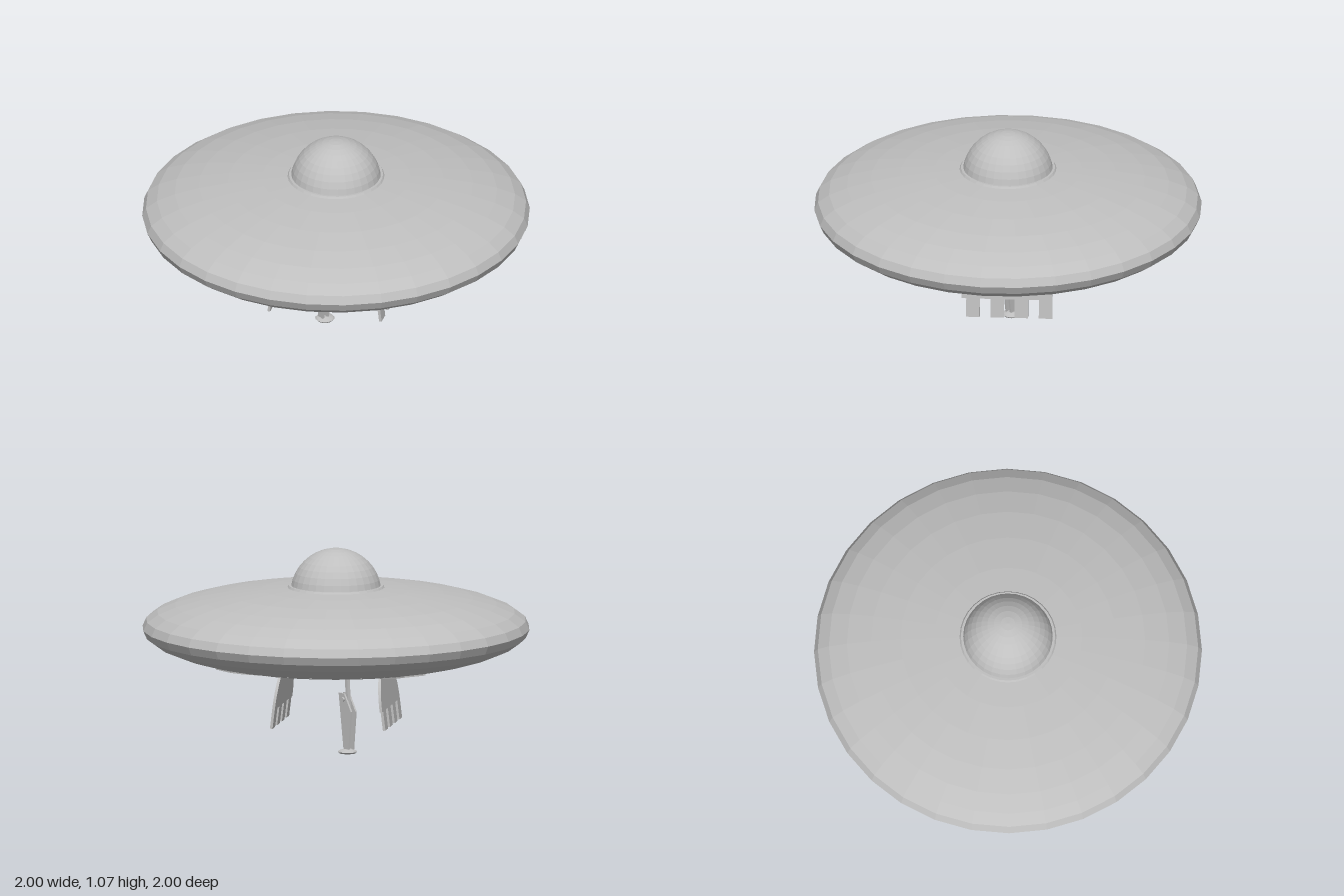
import * as THREE from 'three';

const CY = 0.65, H = 0.22;              // saucer mid height and half height
const lerp = THREE.MathUtils.lerp;
const under = r => CY - H * Math.sqrt(Math.max(0, 1 - r * r));

export function createModel() {
  const model = new THREE.Group();
  const grey = new THREE.MeshStandardMaterial({ color: 0xbfbfbf, flatShading: true, side: THREE.DoubleSide });
  grey.name = 'hull grey';

  const add = (name, geometry, parent = model) => {
    const mesh = new THREE.Mesh(geometry, grey);
    mesh.name = name;
    parent.add(mesh);
    return mesh;
  };
  const lathe = (pts, seg = 32) => new THREE.LatheGeometry(pts.map(p => new THREE.Vector2(p[0], p[1])), seg);
  // Surface over u, v in 0..1
  const sheet = (cols, rows, fn) => {
    const g = new THREE.PlaneGeometry(1, 1, cols, rows), p = g.attributes.position;
    for (let i = 0; i < p.count; i++) p.setXYZ(i, ...fn(p.getX(i) + 0.5, p.getY(i) + 0.5));
    g.computeVertexNormals();
    return g;
  };

  // Saucer: lower rim, then the whole upper side
  const hull = [0.71, 0.77].map(r => [r, under(r)]);
  for (let i = -3; i <= 8; i++) {
    const a = i * Math.PI / 16;
    hull.push([Math.max(0, Math.cos(a)), CY + H * Math.sin(a)]);
  }
  add('saucerHull', lathe(hull));
  add('innerUnderside', lathe([[0.26, under(0.26)], [0.32, under(0.32)], [0.37, under(0.37)]]));

  // Underside panels between four skewed tapered landing gear wells
  const R0 = 0.37, R1 = 0.71;
  const edge = (t, right) => Math.atan2(right ? lerp(-0.01, 0, t) : lerp(-0.06, -0.14, t), lerp(R0, R1, t));
  const at = (a, r, y) => [r * Math.sin(a), y, r * Math.cos(a)];
  for (let k = 0; k < 4; k++) {
    const quarter = new THREE.Group();
    quarter.name = 'undersideQuarter';
    quarter.rotation.y = k * Math.PI / 2;
    model.add(quarter);
    add('undersidePanel', sheet(8, 4, (u, v) => {
      const r = lerp(R0, R1, v);
      return at(lerp(edge(v, true), edge(v, false) + Math.PI / 2, u), r, under(r));
    }), quarter);
    // Well walls, with a small lip below the skin, and flat ceiling
    const corner = (t, right, top) => {
      const r = lerp(R0, R1, t);
      return at(edge(t, right), r, top ? 0.53 : under(r) - 0.008);
    };
    for (const right of [false, true])
      add('wellSide', sheet(4, 1, (u, v) => corner(u, right, v > 0.5)), quarter);
    for (const t of [0, 1])
      add('wellEnd', sheet(1, 1, (u, v) => corner(t, u > 0.5, v > 0.5)), quarter);
    add('wellCeiling', sheet(1, 1, (u, v) => corner(v, u > 0.5, true)), quarter);
  }

  // Dome and its collar
  const dome = [];
  for (let i = 0; i <= 10; i++) {
    const a = i / 10 * Math.PI / 2;
    dome.push([0.235 * Math.cos(a), 0.83 + 0.235 * Math.sin(a)]);
  }
  add('dome', lathe(dome));
  add('domeCollar', lathe([[0.252, 0.85], [0.25, 0.862], [0.243, 0.872], [0.23, 0.872]]));

  // Central hatch: ring and recess
  add('hatchRing', lathe([[0.29, 0.455], [0.295, 0.432], [0.25, 0.432], [0.25, 0.5], [0, 0.5]]));

  // Two half-round toothed hatch plates, splayed outward at the bottom
  const R = 0.235, yc = -0.18, yb = -0.28;
  const claw = new THREE.Shape();
  claw.moveTo(R, yc);
  claw.absarc(0, yc, R, 0, Math.PI, false);
  for (let i = 0; i < 4; i++) {
    const u = -0.21 + i * 0.125;
    claw.lineTo(u, yc);
    claw.lineTo(u, yb);
    claw.lineTo(u + 0.07, yb);
    if (i < 3) claw.lineTo(u + 0.07, yc);
  }
  claw.closePath();
  const clawGeo = new THREE.ExtrudeGeometry(claw, { depth: 0.014, bevelEnabled: false, curveSegments: 20 });
  clawGeo.translate(0, 0, -0.007);
  for (const turn of [0, Math.PI]) {
    const side = new THREE.Group();
    side.name = 'hatchPlateSide';
    side.rotation.y = turn;
    model.add(side);
    const plate = add('toothedPlate', clawGeo, side);
    plate.position.set(-0.195, 0.43, 0.17);
    plate.rotation.set(-0.12, -0.9, 0, 'YXZ');
  }

  // Landing leg: two tapered cheeks, a strut between them and a round foot
  const cheek = new THREE.Shape([[-0.08, 0.015], [-0.042, 0.015], [-0.003, 0.31], [-0.045, 0.31], [-0.1, 0.22]]
    .map(p => new THREE.Vector2(p[0], p[1])));
  for (const z of [0.015, 0.045]) {
    const g = new THREE.ExtrudeGeometry(cheek, { depth: 0.01, bevelEnabled: false });
    add('legCheek', g.translate(0, 0, z));
  }
  const strut = add('legStrut', new THREE.BoxGeometry(0.018, 0.32, 0.018));
  strut.position.set(-0.052, 0.34, 0.035);
  strut.rotation.z = -0.06;
  const pin = add('legPin', new THREE.CylinderGeometry(0.012, 0.012, 0.06, 10));
  pin.rotation.x = Math.PI / 2;
  pin.position.set(-0.04, 0.28, 0.035);
  add('foot', lathe([[0, 0], [0.042, 0], [0.05, 0.008], [0.045, 0.014], [0.02, 0.022], [0, 0.022]], 20))
    .position.set(-0.06, 0, 0.027);

  return model;
}
